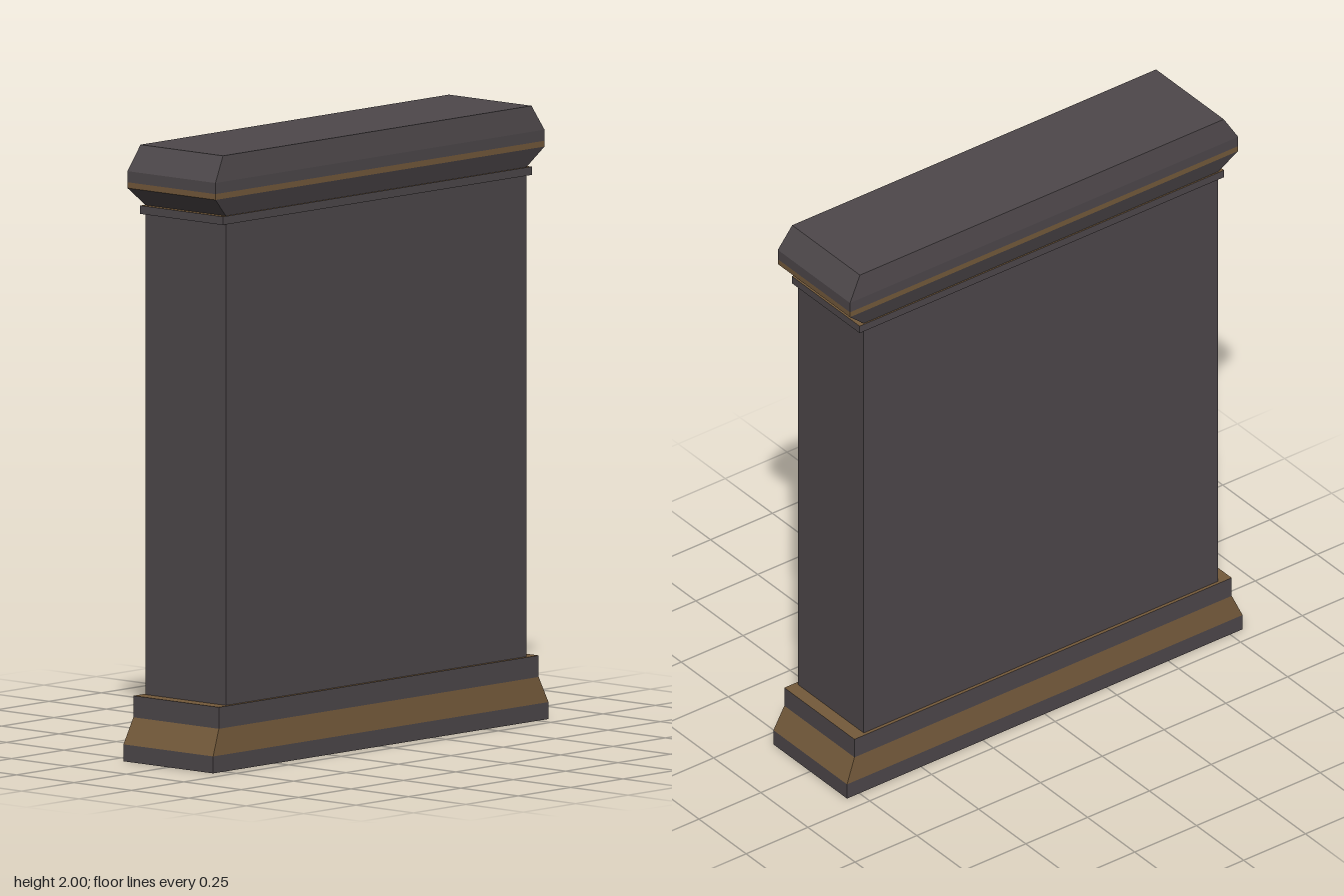
import * as THREE from 'three';

const DEPTH = 0.244; // depth to width ratio of the plan

const stone = new THREE.MeshStandardMaterial({ color: 0x4e484b, flatShading: true });
const gold = new THREE.MeshStandardMaterial({ color: 0x745a3b, flatShading: true });

// Four-sided shell from [half width, height] points, listed from bottom to top
function shell(name, profile, material) {
  const points = profile.map(([w, y]) => new THREE.Vector2(w * Math.SQRT2, y));
  const geometry = new THREE.LatheGeometry(points, 4, Math.PI / 4).toNonIndexed();
  geometry.scale(1, 1, DEPTH);
  geometry.computeVertexNormals();
  const mesh = new THREE.Mesh(geometry, material);
  mesh.name = name;
  return mesh;
}

export function createModel() {
  const group = new THREE.Group();
  group.name = 'pedestal';
  group.add(
    // Base: plinth, sloped trim and upper step
    shell('plinth', [[0, 0], [0.8, 0], [0.8, 0.055]], stone),
    shell('baseTrim', [[0.8, 0.055], [0.763, 0.14]], gold),
    shell('baseStep', [[0.763, 0.14], [0.763, 0.21]], stone),
    shell('baseLedge', [[0.763, 0.21], [0.717, 0.21]], gold),
    // Main slab
    shell('body', [[0.717, 0.21], [0.717, 1.775]], stone),
    // Thin collar under the cap
    shell('collar', [[0.717, 1.775], [0.737, 1.775], [0.737, 1.802]], stone),
    shell('collarLedge', [[0.737, 1.802], [0.717, 1.802]], gold),
    // Cap: flared underside, stripe and bevelled top
    shell('capFlare', [[0.717, 1.802], [0.785, 1.863]], stone),
    shell('capStripe', [[0.785, 1.863], [0.785, 1.882]], gold),
    shell('capTop', [[0.785, 1.882], [0.785, 1.918], [0.736, 2], [0, 2]], stone),
  );
  return group;
}
